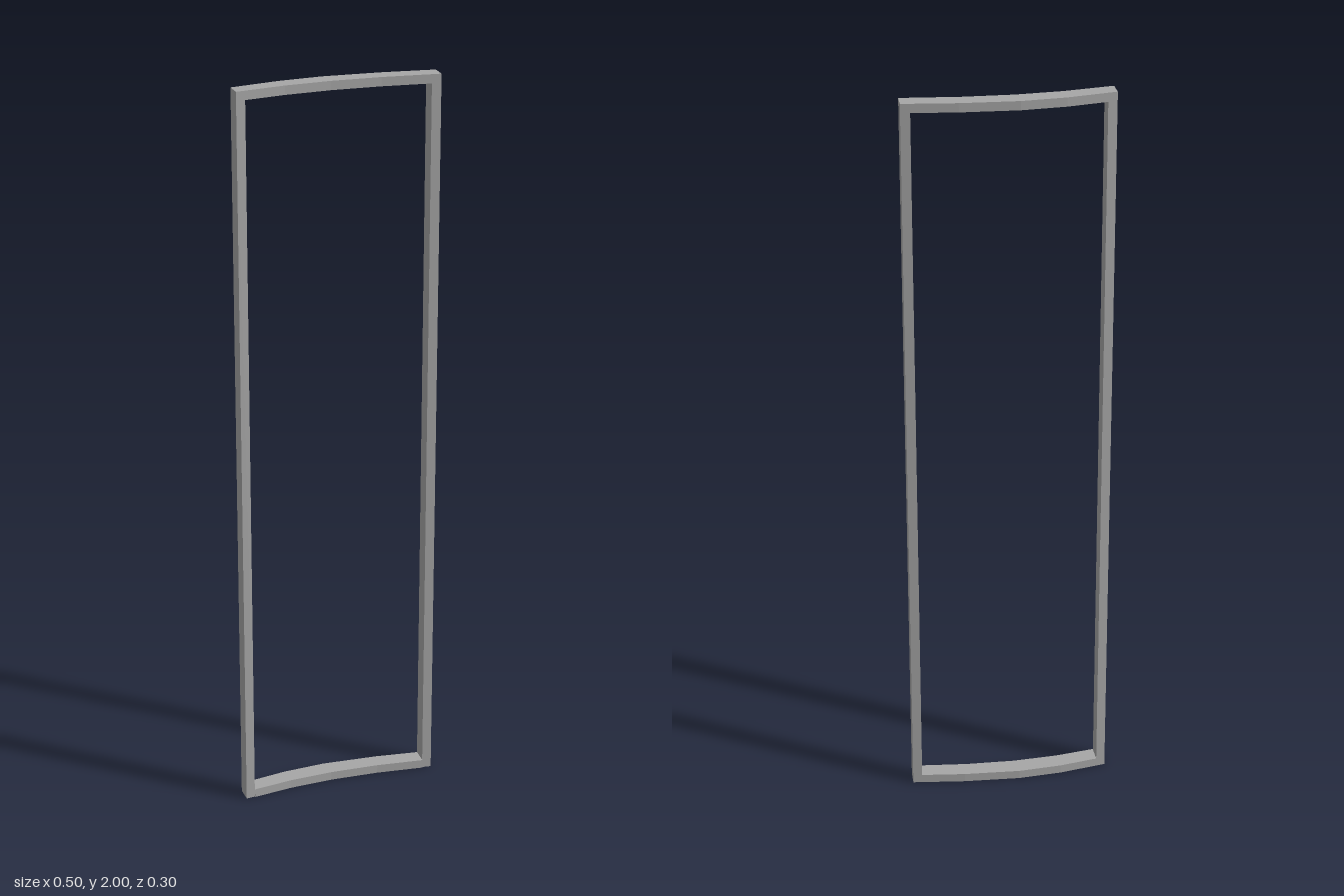
import * as THREE from 'three';

// Plan of the curved frame, as [x, z] points from the right end to the left end
const FRONT = [[-0.228, 0.15], [-0.12, 0.07], [-0.015, 0.006], [0.105, -0.053], [0.25, -0.112]];
const BACK = [[-0.25, 0.11], [-0.145, 0.028], [-0.045, -0.035], [0.095, -0.1], [0.23, -0.152]];
const HEIGHT = 2, POST = 0.025, RAIL = 0.024;

// Point a given distance from a towards b
function towards(a, b, distance) {
  const length = Math.hypot(b[0] - a[0], b[1] - a[1]);
  return a.map((v, i) => v + (b[i] - v) * distance / length);
}

// Extrude a plan outline upwards
function upright(points, y, height, material, name) {
  const shape = new THREE.Shape(points.map(([x, z]) => new THREE.Vector2(x, -z)));
  const geometry = new THREE.ExtrudeGeometry(shape, { depth: height, bevelEnabled: false });
  geometry.rotateX(-Math.PI / 2);
  const mesh = new THREE.Mesh(geometry, material);
  mesh.name = name;
  mesh.position.y = y;
  return mesh;
}

export function createModel() {
  const group = new THREE.Group();
  group.name = 'curvedFrame';
  const metal = new THREE.MeshStandardMaterial({ color: 0xa6a6a6 });
  metal.name = 'grey metal';

  // Inner corners of the two end posts
  const last = FRONT.length - 1;
  const rightFront = towards(FRONT[0], FRONT[1], POST);
  const rightBack = towards(BACK[0], BACK[1], POST);
  const leftFront = towards(FRONT[last], FRONT[last - 1], POST);
  const leftBack = towards(BACK[last], BACK[last - 1], POST);

  // End posts
  group.add(upright([FRONT[0], rightFront, rightBack, BACK[0]], 0, HEIGHT, metal, 'rightPost'));
  group.add(upright([leftFront, FRONT[last], BACK[last], leftBack], 0, HEIGHT, metal, 'leftPost'));

  // Curved rails between the posts; the lower one stands slightly proud at the front
  const rail = (proud) => {
    const front = [rightFront, ...FRONT.slice(1, last), leftFront]
      .map(([x, z]) => [x + proud * 0.5, z + proud * 0.85]);
    const back = [rightBack, ...BACK.slice(1, last), leftBack];
    return [...front, ...back.reverse()];
  };
  group.add(upright(rail(0), HEIGHT - RAIL, RAIL, metal, 'topRail'));
  group.add(upright(rail(0.003), 0, RAIL, metal, 'bottomRail'));
  return group;
}
